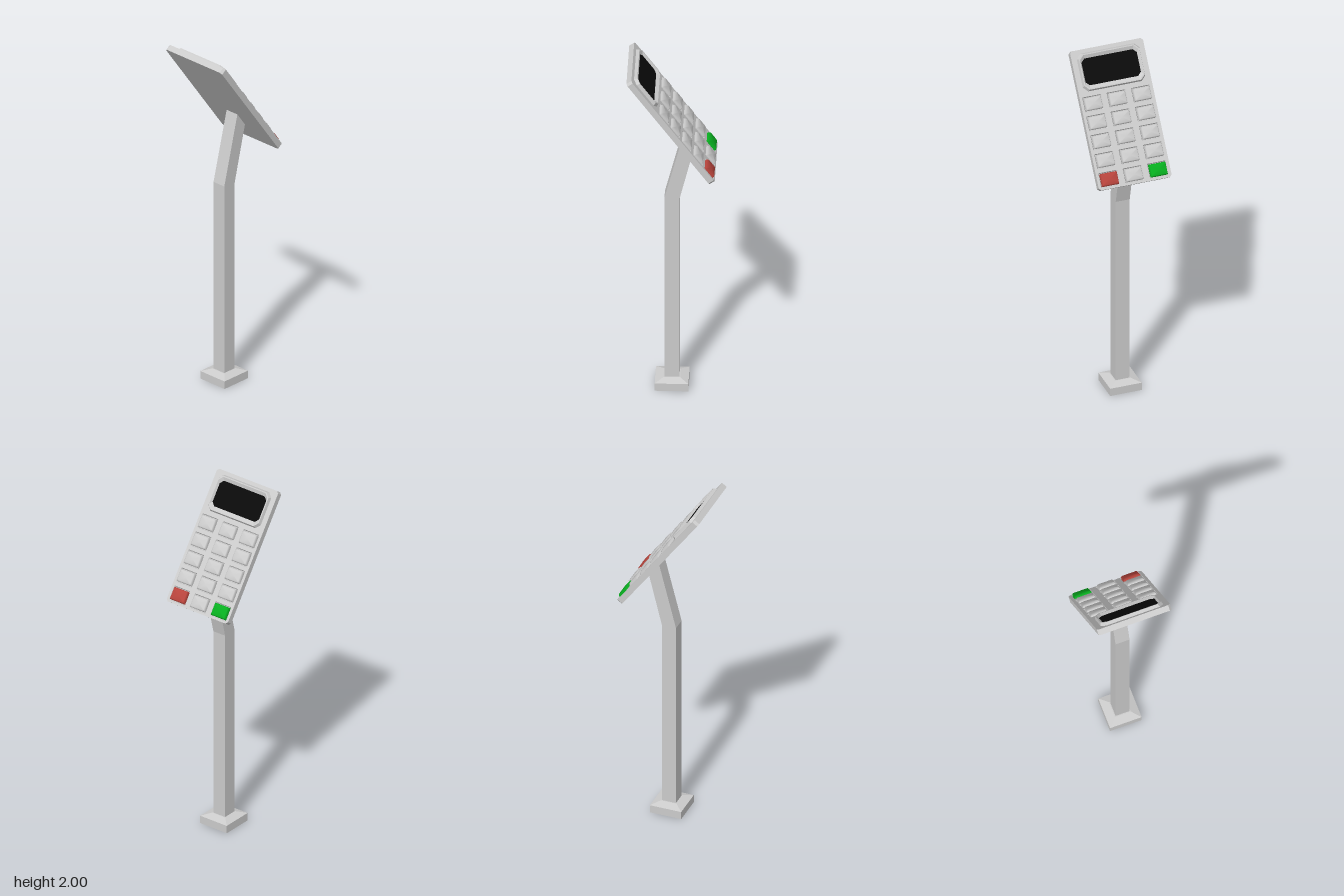
import * as THREE from 'three';

const paint = (color, extra = {}) => new THREE.MeshStandardMaterial({ color, ...extra });

function add(parent, name, geometry, material) {
  const mesh = new THREE.Mesh(geometry, material);
  mesh.name = name;
  parent.add(mesh);
  return mesh;
}

// Rectangle outline with cut corners, counter-clockwise
function outline(hw, hh, cut) {
  return [
    [hw, -hh + cut], [hw, hh - cut], [hw - cut, hh], [-hw + cut, hh],
    [-hw, hh - cut], [-hw, -hh + cut], [-hw + cut, -hh], [hw - cut, -hh],
  ];
}

// Skin over a stack of cut rectangles [halfWidth, halfHeight, cut, z]
function loft(sections, { cap = false, smooth = false } = {}) {
  const pos = [], index = [], n = 8;
  for (const [hw, hh, cut, z] of sections)
    for (const [x, y] of outline(hw, hh, cut)) pos.push(x, y, z);
  for (let k = 0; k < sections.length - 1; k++)
    for (let i = 0; i < n; i++) {
      const a = k * n + i, b = k * n + (i + 1) % n;
      index.push(a, b, b + n, a, b + n, a + n);
    }
  if (cap) {
    const last = (sections.length - 1) * n;
    pos.push(0, 0, sections[sections.length - 1][3]);
    for (let i = 0; i < n; i++) index.push(last + i, last + (i + 1) % n, last + n);
  }
  let g = new THREE.BufferGeometry();
  g.setAttribute('position', new THREE.Float32BufferAttribute(pos, 3));
  g.setIndex(index);
  if (!smooth) g = g.toNonIndexed();
  g.computeVertexNormals();
  return g;
}

const toShape = (points) => new THREE.Shape(points.map(([x, y]) => new THREE.Vector2(x, y)));
const extrude = (shape, depth) => new THREE.ExtrudeGeometry(shape, { depth, bevelEnabled: false });

export function createModel() {
  const root = new THREE.Group();
  root.name = 'keypadStand';
  const grey = paint(0xcccccc, { flatShading: true });
  const keyGrey = paint(0xcccccc);
  const red = paint(0xb8443c);
  const green = paint(0x08b020);
  const black = paint(0x0a0a0a);

  // Foot: square block with a sloped top
  add(root, 'footBlock', new THREE.BoxGeometry(0.18, 0.045, 0.18), grey).position.y = 0.0225;
  const slope = loft([[0.09, 0.09, 0, 0.045], [0.045, 0.045, 0, 0.06]], { cap: true });
  add(root, 'footSlope', slope, grey).rotation.x = -Math.PI / 2;

  // Square post, bent forward near the top and cut to the panel's tilt
  const post = extrude(toShape([
    [-0.04, 0.05], [0.04, 0.05], [0.04, 1.17], [0.12, 1.495], [0.062, 1.575], [-0.04, 1.175],
  ]), 0.08);
  post.translate(0, 0, -0.04);
  add(root, 'post', post, grey);

  // Tilted head: local z is the panel's normal, z = 0 its front face
  const head = new THREE.Group();
  head.name = 'keypadHead';
  head.rotation.order = 'YXZ';
  head.rotation.set(-0.626, Math.PI / 2, 0);
  head.position.set(0.0125, 1.6925, 0);
  root.add(head);

  const recess = 0.008;
  const panelOutline = outline(0.208, 0.38, 0.012);
  const back = extrude(toShape(panelOutline), 0.033 - recess);
  back.translate(0, 0, -0.033);
  add(head, 'panelBack', back, grey);

  // Front plate with a socket for every key
  const plate = toShape(panelOutline);
  const keys = new THREE.Group();
  keys.name = 'keys';
  head.add(keys);
  const socketGeometry = loft([[0.054, 0.041, 0.003, 0], [0.049, 0.037, 0.003, -recess]]);
  const keyGeometry = loft([
    [0.048, 0.035, 0.003, -recess], [0.048, 0.035, 0.003, 0.004], [0.043, 0.029, 0.004, 0.013],
  ], { cap: true, smooth: true });
  for (let row = 0; row < 5; row++)
    for (let col = -1; col <= 1; col++) {
      const x = col * 0.139, y = 0.0855 - row * 0.1035;
      const rim = outline(0.054, 0.041, 0.003).map(([px, py]) => new THREE.Vector2(px + x, py + y));
      plate.holes.push(new THREE.Path(rim));
      add(keys, 'keySocket', socketGeometry, grey).position.set(x, y, 0);
      const material = row < 4 || col === 0 ? keyGrey : col < 0 ? red : green;
      const name = material === red ? 'cancelKey' : material === green ? 'confirmKey' : 'key';
      add(keys, name, keyGeometry, material).position.set(x, y, 0);
    }
  const front = extrude(plate, recess);
  front.translate(0, 0, -recess);
  add(head, 'panelFront', front, grey);

  // Raised display surround and dark screen
  const bezel = loft([
    [0.178, 0.103, 0.025, 0], [0.172, 0.097, 0.025, 0.017],
    [0.166, 0.091, 0.023, 0.017], [0.157, 0.072, 0.02, 0.004],
  ]);
  add(head, 'displayBezel', bezel, grey).position.y = 0.256;
  const screen = new THREE.ShapeGeometry(toShape(outline(0.158, 0.073, 0.02)));
  add(head, 'screen', screen, black).position.set(0, 0.256, 0.005);

  return root;
}
